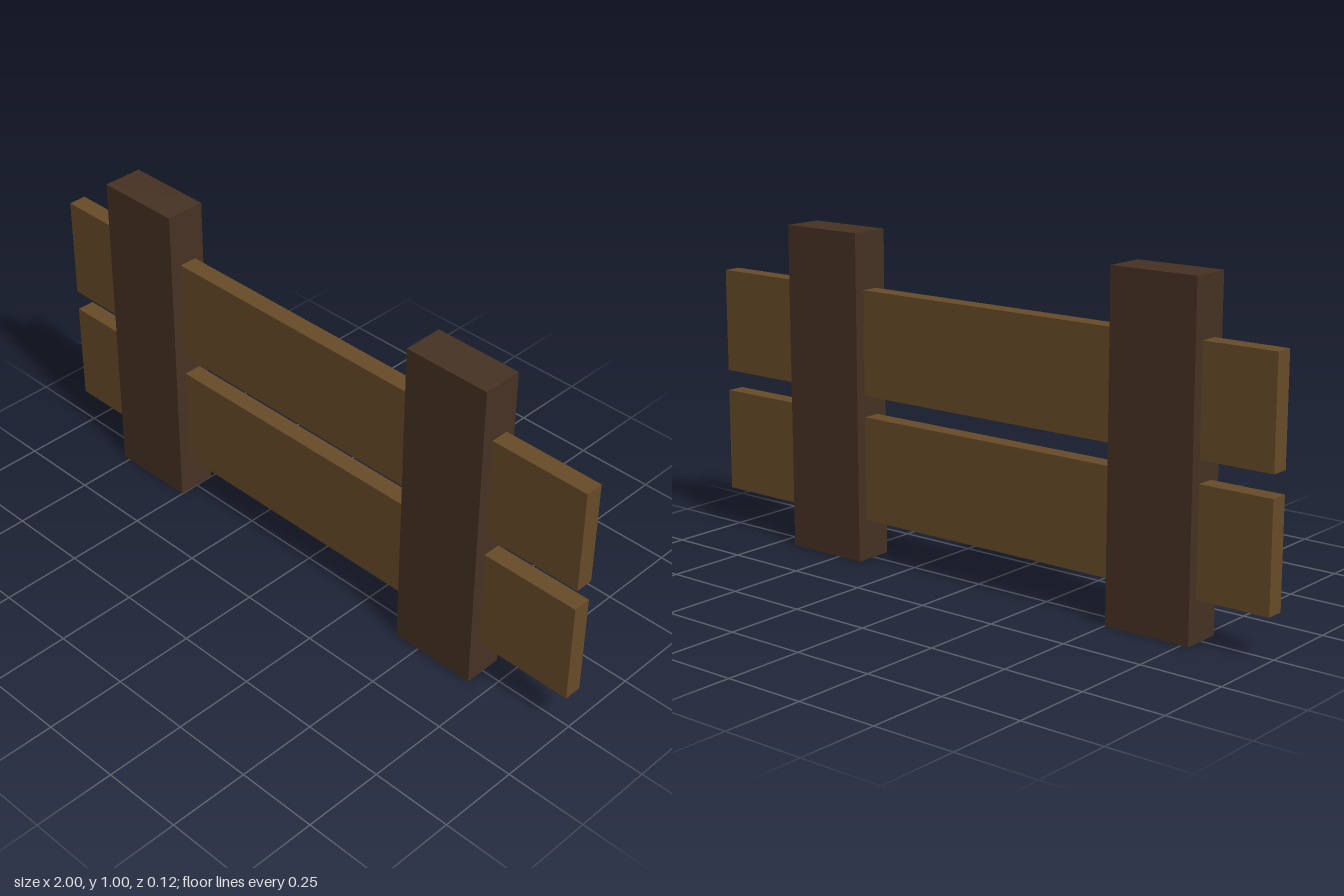
import * as THREE from 'three';

// A short fence section: two rails running through two posts
export function createModel() {
  const fence = new THREE.Group();
  fence.name = 'fence';
  const postWood = new THREE.MeshStandardMaterial({ color: 0x463223, flatShading: true });
  const railWood = new THREE.MeshStandardMaterial({ color: 0x684b28, flatShading: true });

  const addBoard = (name, size, position, material) => {
    const board = new THREE.Mesh(new THREE.BoxGeometry(...size), material);
    board.name = name;
    board.position.set(...position);
    fence.add(board);
  };

  // Upright posts, set slightly off centre along the rails
  for (const [name, x] of [['rightPost', -0.637], ['leftPost', 0.553]]) {
    addBoard(name, [0.273, 1, 0.124], [x, 0.5, 0], postWood);
  }

  // Horizontal rails
  for (const [name, y] of [['lowerRail', 0.284], ['upperRail', 0.668]]) {
    addBoard(name, [2, 0.319, 0.056], [0, y, -0.002], railWood);
  }

  return fence;
}
